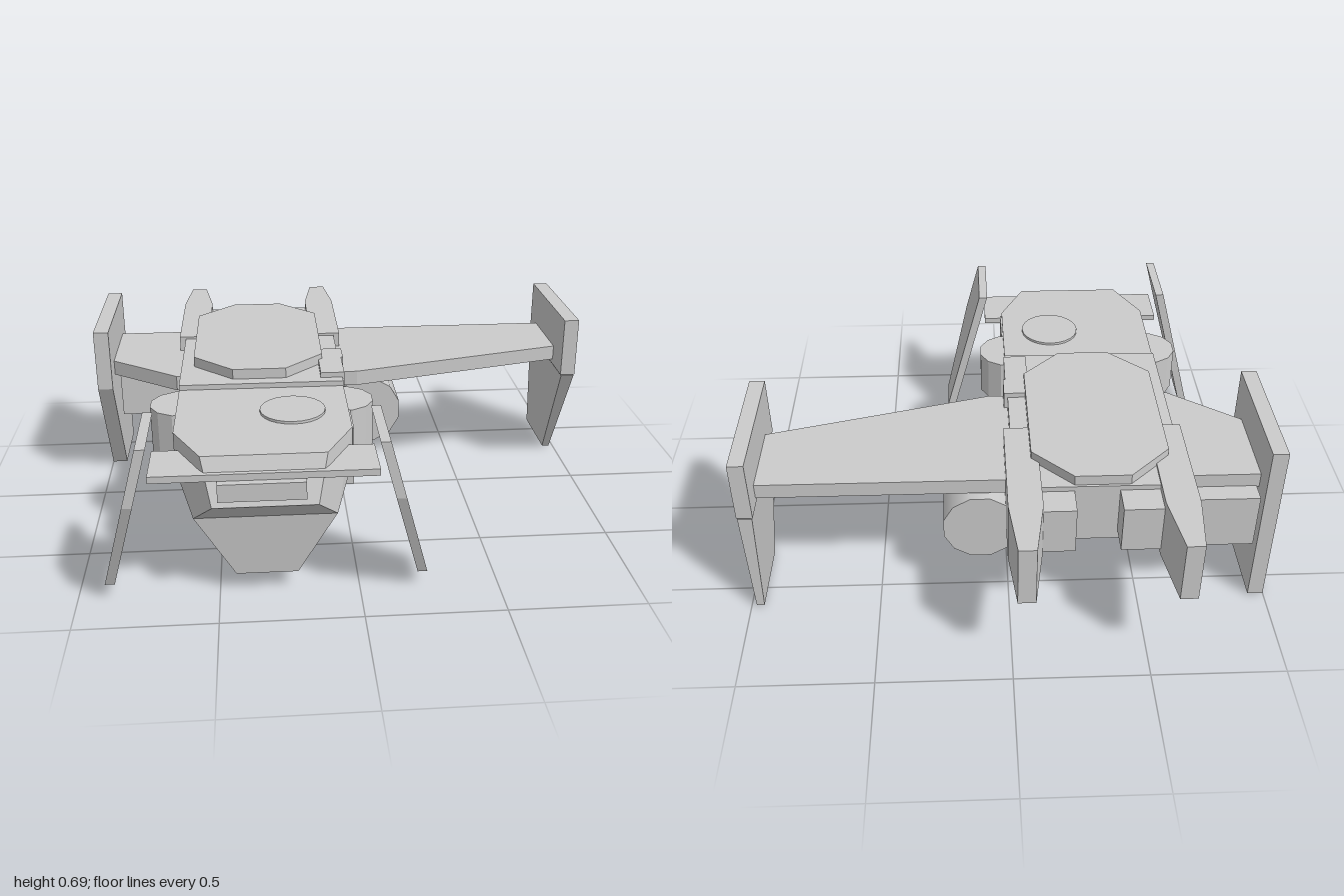
import * as THREE from 'three';
import { ConvexGeometry } from 'three/addons/geometries/ConvexGeometry.js';

const material = new THREE.MeshStandardMaterial({ color: 0xcccccc, flatShading: true });
const smooth = new THREE.MeshStandardMaterial({ color: 0xcccccc });
const C = -0.33; // centre line of the fuselage

export function createModel() {
  const group = new THREE.Group();
  const add = (name, geometry, mat = material) => {
    const mesh = new THREE.Mesh(geometry, mat);
    mesh.name = name;
    group.add(mesh);
    return mesh;
  };
  const extrude = (points, depth) => new THREE.ExtrudeGeometry(
    new THREE.Shape(points.map(p => new THREE.Vector2(p[0], p[1]))), { depth, bevelEnabled: false });
  // Box given by its limits
  const box = (name, x0, x1, y0, y1, z0, z1) => add(name,
    new THREE.BoxGeometry(x1 - x0, y1 - y0, z1 - z0).translate((x0 + x1) / 2, (y0 + y1) / 2, (z0 + z1) / 2));
  // Horizontal plate from an [x, z] outline
  const deck = (name, points, y0, y1) => add(name,
    extrude(points, y1 - y0).rotateX(Math.PI / 2).translate(0, y1, 0));
  // Upright plate from a [z, y] outline
  const upright = (points, x0, x1) => extrude(points, x1 - x0).rotateY(-Math.PI / 2).translate(x1, 0, 0);
  // Shift x in proportion to height, so a plate leans
  const lean = (geometry, slope, pivot) => {
    const p = geometry.attributes.position;
    for (let i = 0; i < p.count; i++) p.setX(i, p.getX(i) + slope * (p.getY(i) - pivot));
    return geometry;
  };
  // Convex solid symmetrical about the fuselage centre line, from [half width, y, z]
  const solid = (name, points) => add(name, new ConvexGeometry(points.flatMap(([w, y, z]) =>
    [new THREE.Vector3(C + w, y, z), new THREE.Vector3(C - w, y, z)])));

  // Fuselage
  solid('noseHull', [
    [0.315, 0.56, 0.26], [0.315, 0.56, 0.65], [0.215, 0.56, 0.85],
    [0.315, 0.42, 0.26], [0.315, 0.42, 0.65], [0.18, 0.4, 0.92],
    [0.255, 0.31, 0.26], [0.25, 0.31, 0.82],
  ]);
  solid('chin', [
    [0.25, 0.31, 0.82], [0.25, 0.31, 0.33], [0.14, 0.31, 0.15],
    [0.11, 0.07, 0.8], [0.11, 0.07, 0.22],
  ]);
  solid('midHull', [
    [0.315, 0.58, 0.26], [0.315, 0.58, -0.62], [0.315, 0.42, 0.26], [0.315, 0.42, -0.62],
    [0.255, 0.31, 0.26], [0.255, 0.33, -0.62],
  ]);
  box('noseSlot', -0.49, -0.19, 0.42, 0.485, 0.85, 0.918);
  add('roundHatch', new THREE.CylinderGeometry(0.12, 0.12, 0.02, 24).translate(-0.22, 0.56, 0.49));
  deck('topHatch', [[-0.44, -0.61], [-0.235, -0.61], [-0.085, -0.46], [-0.085, 0.06],
    [-0.235, 0.21], [-0.44, 0.21], [-0.595, 0.06], [-0.595, -0.46]], 0.57, 0.62);

  // Side details on the left flank
  box('sidePanel', -0.1, -0.008, 0.34, 0.6, 0.05, 0.22);
  box('sideStep', -0.1, 0.0, 0.47, 0.6, -0.05, 0.05);
  box('forwardSidePanel', -0.1, -0.008, 0.33, 0.55, 0.47, 0.64);

  for (const s of [-1, 1]) {
    // Rear booms tapering to prongs, and the engine blocks between them
    const X = w => C + s * w;
    deck('rearBoom', [[X(0.34), -0.27], [X(0.34), -0.73], [X(0.315), -0.96],
      [X(0.25), -0.96], [X(0.215), -0.73], [X(0.215), -0.27]], 0.345, 0.59);
    const inner = s < 0 ? -0.4 : -0.235, outer = X(0.23);
    box('engineBlock', Math.min(inner, outer), Math.max(inner, outer), 0.37, 0.56, -0.73, -0.55);
    // Round pods half sunk in the flanks
    add('sidePod', new THREE.CylinderGeometry(0.12, 0.12, 0.18, 12)
      .rotateY(Math.PI / 12).translate(X(0.3), 0.457, 0.355));
    // Leaning foreplanes
    const x = X(0.3975);
    add('foreplane', lean(upright([[0.65, 0.64], [0.955, 0.64], [0.955, 0.43],
      [0.82, 0.06], [0.65, 0.06]], x - 0.0175, x + 0.0175), -s * 0.27, 0.64));
  }
  box('foreplaneStrut', -0.72, 0.06, 0.485, 0.51, 0.69, 0.89);

  // Wings of unequal span
  deck('leftWing', [[-0.1, -0.51], [0.95, -0.51], [0.95, -0.2], [0.06, 0.035], [-0.1, 0.035]], 0.47, 0.53);
  deck('rightWing', [[-0.95, -0.51], [-0.6, -0.51], [-0.6, 0.035], [-0.67, 0.035], [-0.95, -0.17]], 0.47, 0.53);

  // Wing tip plates: one solid, one in two pieces with a tapered lower half
  add('rightTipPlate', upright([[-0.06, 0.69], [-0.6, 0.69], [-0.6, 0], [-0.3, 0], [-0.06, 0.445]], -1, -0.94));
  add('leftTipUpper', upright([[-0.06, 0.69], [-0.6, 0.69], [-0.6, 0.45], [-0.06, 0.45]], 0.935, 0.995));
  const lower = upright([[-0.06, 0.445], [-0.6, 0.445], [-0.6, 0.005], [-0.3, 0.005]], 0.938, 0.992);
  const p = lower.attributes.position;
  for (let i = 0; i < p.count; i++) {
    p.setX(i, 0.965 + (p.getX(i) - 0.965) * (0.55 + p.getY(i)));
  }
  add('leftTipLower', lower);

  // Stores beneath the wings
  const tank = new THREE.CylinderGeometry(0.145, 0.145, 0.485, 12)
    .rotateY(Math.PI / 12).rotateX(Math.PI / 2).translate(0.105, 0.32, -0.2925);
  add('underwingTank', tank, smooth);
  box('underwingBox', -0.93, -0.64, 0.25, 0.475, -0.585, -0.25);

  // Leaning belly fin
  add('bellyFin', lean(upright([[0.01, 0.4], [-0.18, 0.4], [-0.17, 0.2], [-0.14, 0.08],
    [-0.03, 0.08], [0.01, 0.2]], -0.625, -0.585), 0.27, 0.08));
  return group;
}
